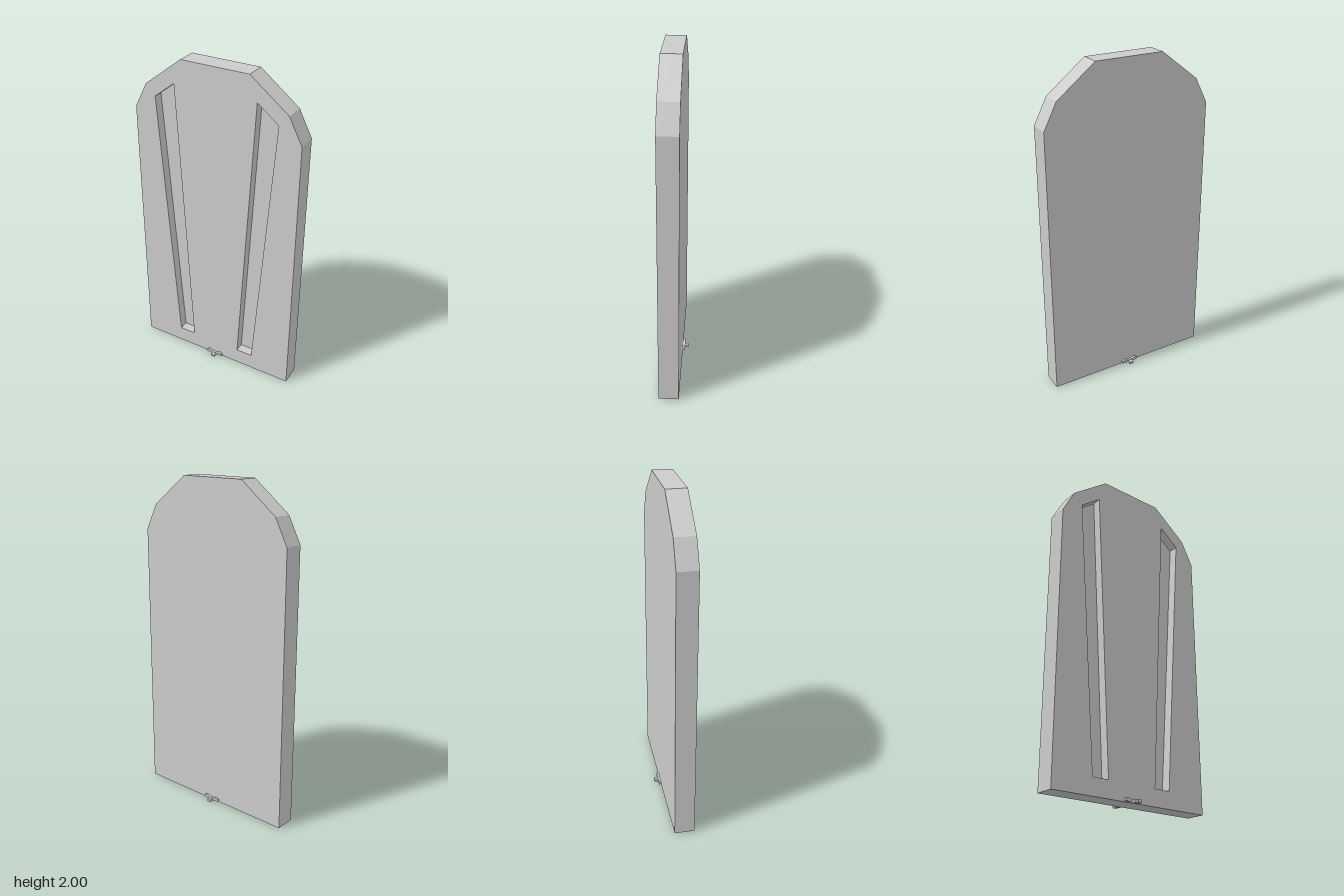
import * as THREE from 'three';

const material = new THREE.MeshStandardMaterial({ color: 0xcccccc, flatShading: true });
const FRONT = 0.058, BACK = -0.063, GROOVE = 0;

const toPoints = (pts) => pts.map(([x, y]) => new THREE.Vector2(x, y));

// Extrudes a shape between two z planes
function slab(name, shape, z0, z1) {
  const geometry = new THREE.ExtrudeGeometry(shape, { depth: z1 - z0, bevelEnabled: false });
  geometry.translate(0, 0, z0);
  const mesh = new THREE.Mesh(geometry, material);
  mesh.name = name;
  return mesh;
}

// Closed outline from its right half, mirrored to the left
function mirrored(half) {
  return new THREE.Shape(toPoints([...half, ...half.map(([x, y]) => [-x, y]).reverse()]));
}

export function createModel() {
  const group = new THREE.Group();
  group.name = 'archedDoor';

  // Door panel: plain back layer and front layer pierced by two tapering grooves
  const outline = [[0.522, 0.003], [0.522, 1.667], [0.443, 1.82], [0.21, 2]];
  const groove = [[0.163, 0.105], [0.267, 0.105], [0.385, 1.755], [0.257, 1.855]];
  const front = mirrored(outline);
  for (const side of [1, -1]) {
    front.holes.push(new THREE.Path(toPoints(groove.map(([x, y]) => [side * x, y]))));
  }
  group.add(slab('backPanel', mirrored(outline), BACK, GROOVE));
  group.add(slab('groovedFrontPanel', front, GROOVE, FRONT));

  // Small catch at the foot of each face: winged plate and projecting peg
  const plate = [[0.022, 0.006], [0.055, 0.009], [0.052, 0.024], [0.035, 0.028], [0.012, 0.019]];
  const catches = [['front', 1, FRONT], ['back', -1, BACK]];
  for (const [name, dir, z] of catches) {
    const outer = z + dir * 0.014;
    group.add(slab(name + 'CatchPlate', mirrored(plate), Math.min(z, outer), Math.max(z, outer)));
    const peg = new THREE.Mesh(new THREE.BoxGeometry(0.024, 0.016, 0.036), material);
    peg.name = name + 'CatchPeg';
    peg.position.set(0, 0.008, z + dir * 0.018);
    group.add(peg);
  }
  return group;
}
